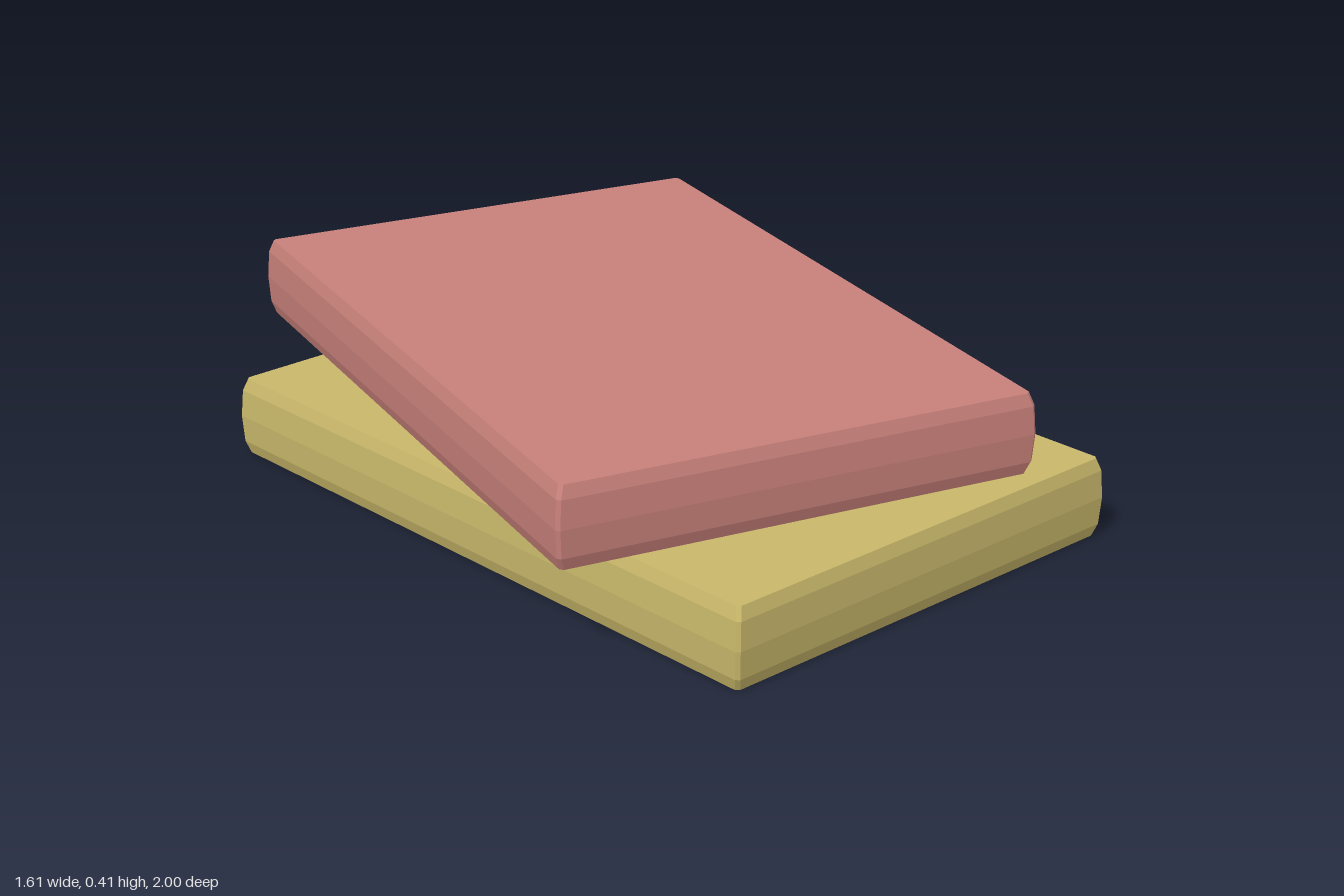
import * as THREE from 'three';

const WIDTH = 1.172, DEPTH = 1.735, HEIGHT = 0.193, CHAMFER = 0.008;
// Edge profile from bottom to top: [height, inset]
const PROFILE = [[0, 0.014], [0.03, 0.004], [HEIGHT / 2, 0], [HEIGHT - 0.03, 0.004], [HEIGHT, 0.014]];

// Rectangle with tiny cut corners, counter-clockwise seen from above
function ring(y, inset) {
  const x = WIDTH / 2 - inset, z = DEPTH / 2 - inset, c = CHAMFER;
  return [[x, z - c], [x, c - z], [x - c, -z], [c - x, -z], [-x, c - z], [-x, z - c], [c - x, z], [x - c, z]]
    .map(([px, pz]) => [px, y, pz]);
}

// Slab lofted through the profile, closed by flat caps
function slabGeometry() {
  const rings = PROFILE.map(([y, inset]) => ring(y, inset));
  const n = rings[0].length, index = [];
  for (let r = 0; r < rings.length - 1; r++) {
    for (let i = 0; i < n; i++) {
      const a = r * n + i, b = r * n + (i + 1) % n;
      index.push(a, b, b + n, a, b + n, a + n);
    }
  }
  const top = (rings.length - 1) * n;
  for (let i = 1; i < n - 1; i++) {
    index.push(top, top + i, top + i + 1);
    index.push(0, i + 1, i);
  }
  const geometry = new THREE.BufferGeometry();
  geometry.setAttribute('position', new THREE.Float32BufferAttribute(rings.flat(2), 3));
  geometry.setIndex(index);
  const flat = geometry.toNonIndexed();
  flat.computeVertexNormals();
  return flat;
}

export function createModel() {
  const group = new THREE.Group();
  group.name = 'stackedSlabs';
  const geometry = slabGeometry();

  function addSlab(name, color, x, y, z, turn) {
    const mesh = new THREE.Mesh(geometry, new THREE.MeshStandardMaterial({ color, flatShading: true }));
    mesh.name = name;
    mesh.position.set(x, y, z);
    mesh.rotation.y = turn;
    group.add(mesh);
  }

  addSlab('lowerSlab', 0xc8b76a, -0.021, 0, 0.131, 0);
  // Upper slab floats just above the lower one, turned askew
  addSlab('upperSlab', 0xc8807a, 0, 0.222, -0.004, -0.283);
  return group;
}
